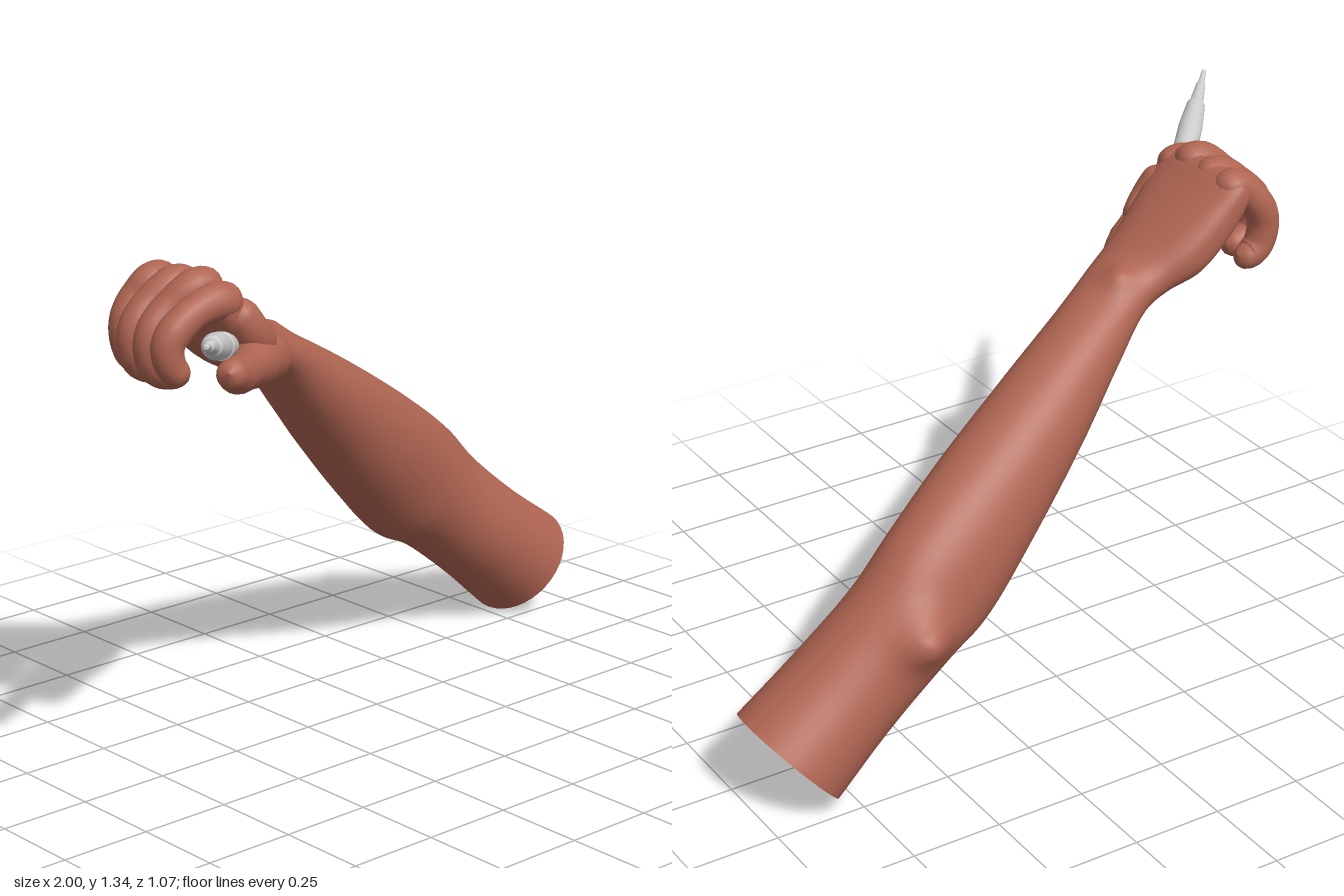
import * as THREE from 'three';
import { mergeVertices } from 'three/addons/utils/BufferGeometryUtils.js';

const skin = new THREE.MeshStandardMaterial({ color: 0xb06552, side: THREE.DoubleSide });
const grey = new THREE.MeshStandardMaterial({ color: 0xcccccc, side: THREE.DoubleSide });
const V = (a) => new THREE.Vector3(...a);

function named(name, geometry, material) {
  const mesh = new THREE.Mesh(geometry, material);
  mesh.name = name;
  return mesh;
}

// Soft bump: pushes vertices near a centre along a direction
function bump(p, centre, push, radius) {
  const d = p.distanceTo(V(centre)) / radius;
  p.addScaledVector(V(push), Math.exp(-d * d));
}

// Forearm and palm: rounded sections, open at the upper arm and closed at the knuckles.
// Each section: top x, top y, bottom x, bottom y, back z, front z
function armGeometry() {
  const sections = [
    [1.0, 0.26, 0.78, 0.005, -0.53, -0.19],
    [0.83, 0.375, 0.61, 0.15, -0.505, -0.19],
    [0.65, 0.52, 0.43, 0.285, -0.49, -0.19],
    [0.53, 0.635, 0.30, 0.35, -0.465, -0.17],
    [0.34, 0.765, 0.12, 0.51, -0.41, -0.115],
    [0.10, 0.91, -0.08, 0.71, -0.33, -0.06],
    [-0.10, 1.02, -0.22, 0.855, -0.255, -0.015],
    [-0.24, 1.09, -0.34, 0.975, -0.20, 0.03],
    [-0.33, 1.135, -0.41, 1.01, -0.195, 0.065],
    [-0.42, 1.195, -0.50, 1.05, -0.215, 0.10],
    [-0.52, 1.27, -0.59, 1.14, -0.215, 0.13],
    [-0.59, 1.32, -0.65, 1.225, -0.205, 0.13],
    [-0.635, 1.315, -0.66, 1.27, -0.18, 0.11],
  ];
  const tops = new THREE.CatmullRomCurve3(sections.map((s) => V([s[0], s[1], s[4]])));
  const bottoms = new THREE.CatmullRomCurve3(sections.map((s) => V([s[2], s[3], s[5]])));
  const rows = 96, cols = 40, pos = [], index = [];
  for (let i = 0; i <= rows; i++) {
    const t = i / rows;
    const a = tops.getPoint(t), b = bottoms.getPoint(t);
    const c = a.clone().add(b).multiplyScalar(0.5);
    // The palm is boxier than the round forearm
    const power = THREE.MathUtils.lerp(1, 0.72, THREE.MathUtils.smoothstep(t, 0.62, 0.85));
    const round = (n) => Math.sign(n) * Math.abs(n) ** power;
    for (let j = 0; j < cols; j++) {
      const q = (j / cols) * Math.PI * 2;
      const u = round(Math.cos(q)), v = round(Math.sin(q));
      const p = V([c.x + (a.x - c.x) * u, c.y + (a.y - c.y) * u, c.z + (b.z - c.z) * v]);
      bump(p, [0.55, 0.43, -0.48], [0.01, 0, -0.06], 0.065); // elbow point
      bump(p, [-0.265, 1.09, -0.13], [0.01, 0.02, -0.008], 0.04); // wrist bone
      pos.push(p.x, p.y, p.z);
    }
  }
  for (let i = 0; i < rows; i++) {
    for (let j = 0; j < cols; j++) {
      const k = (j + 1) % cols, a = i * cols, b = a + cols;
      index.push(a + j, b + j, a + k, a + k, b + j, b + k);
    }
  }
  // Knuckle end cap
  const last = rows * cols, mid = pos.length / 3;
  pos.push(-0.655, 1.295, -0.035);
  for (let j = 0; j < cols; j++) index.push(last + j, mid, last + ((j + 1) % cols));
  const g = new THREE.BufferGeometry();
  g.setAttribute('position', new THREE.Float32BufferAttribute(pos, 3));
  g.setIndex(index);
  g.computeVertexNormals();
  return g;
}

// Digit: a tube whose radius follows a list, with rounded ends
function digit(points, radii) {
  const curve = new THREE.CatmullRomCurve3(points.map(V));
  const rows = 40, sides = 18, length = curve.getLength();
  const g = new THREE.TubeGeometry(curve, rows, 1, sides, false);
  const pos = g.attributes.position, p = new THREE.Vector3();
  for (let i = 0; i <= rows; i++) {
    const t = i / rows, c = curve.getPointAt(t);
    const f = t * (radii.length - 1), k = Math.min(Math.floor(f), radii.length - 2);
    let r = THREE.MathUtils.lerp(radii[k], radii[k + 1], f - k);
    const end = Math.min(1, (Math.min(t, 1 - t) * length) / r);
    r *= Math.max(0.02, Math.sqrt(1 - (1 - end) ** 2));
    for (let j = 0; j <= sides; j++) {
      const n = i * (sides + 1) + j;
      p.fromBufferAttribute(pos, n).sub(c).multiplyScalar(r).add(c);
      pos.setXYZ(n, p.x, p.y, p.z);
    }
  }
  g.deleteAttribute('uv');
  g.deleteAttribute('normal');
  const merged = mergeVertices(g, 1e-5);
  merged.computeVertexNormals();
  return merged;
}

export function createModel() {
  const model = new THREE.Group();
  model.name = 'armHoldingStylus';
  model.add(named('armAndPalm', armGeometry(), skin));

  // Three curled fingers: name, knuckle z, tip z, reach in x, lift in y
  const fingers = new THREE.Group();
  fingers.name = 'fingers';
  const curled = [
    ['middleFinger', 0.025, 0.0, 0, 0.015],
    ['ringFinger', -0.065, -0.08, 0.01, 0.005],
    ['littleFinger', -0.15, -0.165, 0.05, 0],
  ];
  for (const [name, z0, z1, dx, dy] of curled) {
    const path = [
      [-0.56, 1.265 + dy, z0], [-0.63, 1.275 + dy, z0], [-0.71 + dx * 0.7, 1.235, z1],
      [-0.757 + dx, 1.17, z1], [-0.745 + dx, 1.10, z1], [-0.69 + dx * 0.6, 1.075, z1],
      [-0.645 + dx * 0.4, 1.085, z1],
    ];
    fingers.add(named(name, digit(path, [0.05, 0.052, 0.043, 0.045, 0.043, 0.041, 0.037]), skin));
  }
  // Index finger resting on the stylus
  fingers.add(named('indexFinger', digit([
    [-0.55, 1.25, 0.09], [-0.62, 1.265, 0.09], [-0.71, 1.235, 0.085], [-0.765, 1.18, 0.08],
    [-0.76, 1.12, 0.085], [-0.72, 1.085, 0.095],
  ], [0.05, 0.05, 0.043, 0.045, 0.041, 0.036]), skin));
  model.add(fingers);

  // Thumb with its fleshy base, and the heel of the hand
  model.add(named('thumb', digit([
    [-0.34, 1.06, 0.0], [-0.43, 1.08, 0.05], [-0.52, 1.095, 0.115], [-0.60, 1.105, 0.18],
    [-0.68, 1.12, 0.245], [-0.77, 1.155, 0.32],
  ], [0.05, 0.068, 0.065, 0.05, 0.048, 0.034]), skin));
  model.add(named('palmHeel', digit([
    [-0.37, 1.085, -0.11], [-0.46, 1.125, -0.13], [-0.60, 1.22, -0.15],
  ], [0.05, 0.065, 0.05]), skin));
  // Web between thumb and index finger
  model.add(named('thumbWeb', digit([
    [-0.46, 1.11, 0.06], [-0.52, 1.17, 0.105], [-0.575, 1.255, 0.09],
  ], [0.06, 0.05, 0.05]), skin));

  // Stylus: stepped profile of radius and distance from the nib
  const nib = V([-1, 1.302, 0.52]), tail = V([-0.585, 1.145, 0.085]);
  const axis = tail.clone().sub(nib);
  const profile = [
    [0.0, 0], [0.007, 0.002], [0.009, 0.06], [0.013, 0.065], [0.02, 0.155], [0.026, 0.165],
    [0.034, 0.27], [0.034, 0.395], [0.03, 0.398], [0.03, 0.406], [0.036, 0.41],
    [0.036, 0.5], [0.033, 0.505], [0.033, axis.length() - 0.01], [0.026, axis.length()], [0, axis.length()],
  ];
  // Doubling the points keeps the steps crisp
  const crisp = profile.flatMap(([r, y]) => [new THREE.Vector2(r, y), new THREE.Vector2(r, y + 1e-4)]);
  const stylus = named('stylus', new THREE.LatheGeometry(crisp, 28), grey);
  stylus.position.copy(nib);
  stylus.quaternion.setFromUnitVectors(V([0, 1, 0]), axis.normalize());
  model.add(stylus);
  return model;
}
